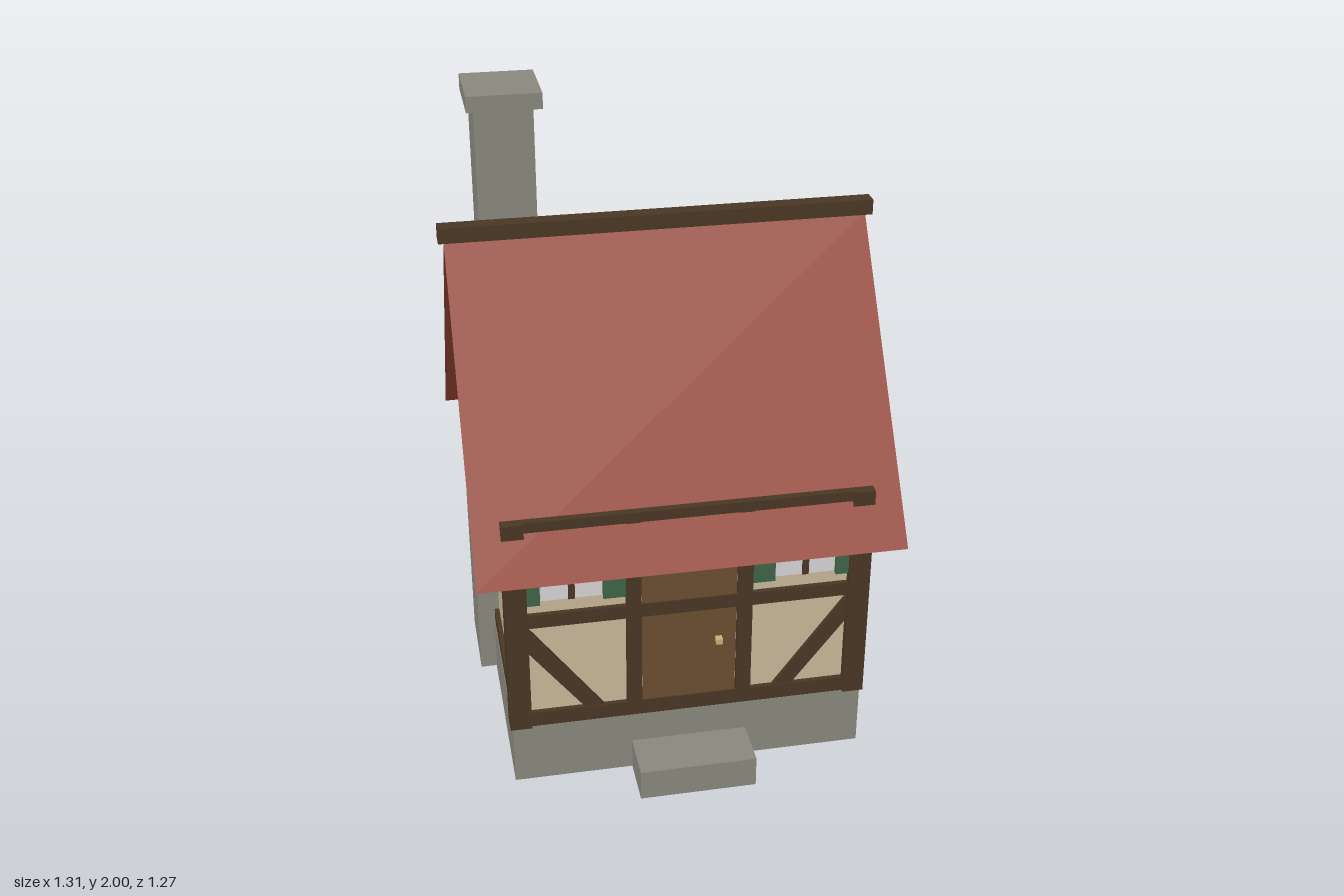
import * as THREE from 'three';

const material = (name, color, extra = {}) => {
  const m = new THREE.MeshStandardMaterial({ color, ...extra });
  m.name = name;
  return m;
};

export function createModel() {
  const house = new THREE.Group();
  house.name = 'timberHouse';

  const stone = material('stone', 0x8a887d);
  const plaster = material('plaster', 0xc8b999);
  const timber = material('timber', 0x4a3724);
  const tiles = material('roofTiles', 0x944333, { side: THREE.DoubleSide });
  const green = material('shutterGreen', 0x3e6647);
  const glass = material('windowPane', 0xd8d4d8);
  const doorWood = material('doorWood', 0x6c4d30);
  const brass = material('doorKnob', 0xc8b078);

  const C = -0.033;                     // depth centre of the house
  const HX = 0.555, HZ = 0.522;         // outer half sizes at the corner posts
  const WALL = 0.025, RAIL = 0.01;      // setbacks from the post faces
  const APEX = 1.6, EAVE = 0.765, RUN = 0.604;
  const SLOPE = (APEX - EAVE) / RUN;

  const add = (parent, name, geometry, mat) => {
    const mesh = new THREE.Mesh(geometry, mat);
    mesh.name = name;
    parent.add(mesh);
    return mesh;
  };
  // Box given by its limits
  const box = (parent, name, mat, x0, x1, y0, y1, z0, z1) => {
    const mesh = add(parent, name, new THREE.BoxGeometry(x1 - x0, y1 - y0, z1 - z0), mat);
    mesh.position.set((x0 + x1) / 2, (y0 + y1) / 2, (z0 + z1) / 2);
    return mesh;
  };
  const prism = (parent, name, mat, points, depth, z) => {
    const shape = new THREE.Shape(points.map(([x, y]) => new THREE.Vector2(x, y)));
    const mesh = add(parent, name, new THREE.ExtrudeGeometry(shape, { depth, bevelEnabled: false }), mat);
    mesh.position.z = z;
    return mesh;
  };

  // Stone base and doorstep
  box(house, 'foundation', stone, -0.547, 0.547, 0, 0.2, C - 0.513, C + 0.513);
  box(house, 'doorstep', stone, -0.18, 0.18, 0, 0.1, 0.47, 0.636);

  // Plaster body with gables, extruded along x
  const wz = HZ - WALL, wx = HX - WALL;
  const wallTop = APEX - wz * SLOPE;
  const body = prism(house, 'plasterWalls', plaster,
    [[-wz, 0.2], [wz, 0.2], [wz, wallTop - 0.004], [0, APEX - 0.004], [-wz, wallTop - 0.004]], wx * 2, 0);
  body.rotation.y = Math.PI / 2;
  body.position.set(-wx, 0, C);

  // Corner posts
  for (const sx of [-1, 1]) for (const sz of [-1, 1]) {
    const x = sx * (HX - 0.033), z = C + sz * (HZ - 0.033);
    box(house, 'cornerPost', timber, x - 0.033, x + 0.033, 0.2, 0.925, z - 0.033, z + 0.033);
  }

  // Framing shared by all four sides; local z points outward
  function side(name, angle, half, depth, braceFoot) {
    const g = new THREE.Group();
    g.name = name;
    g.rotation.y = angle;
    g.position.z = C;
    house.add(g);
    const back = depth - WALL - 0.01, front = depth - RAIL, w = half - 0.05;
    for (const [rail, y0, y1] of [['sillBeam', 0.2, 0.25], ['middleRail', 0.56, 0.605], ['topPlate', 0.88, 0.925]])
      box(g, rail, timber, -w, w, y0, y1, back, front);
    const inner = half - 0.06;
    for (const s of [-1, 1]) {
      const pts = [[braceFoot, 0.245], [braceFoot + 0.06, 0.245], [inner, 0.475], [inner, 0.565]]
        .map(([x, y]) => [s * x, y]);
      prism(g, 'diagonalBrace', timber, pts, front - 0.003 - back, back);
    }
    return g;
  }

  // Window with a pair of shutters, centred on u
  function windowAt(g, u, depth, mullion) {
    const w = depth - WALL;
    box(g, 'windowPane', glass, u - 0.091, u + 0.091, 0.648, 0.846, w - 0.005, w + 0.006);
    if (mullion) box(g, 'mullion', timber, u - 0.01, u + 0.01, 0.648, 0.846, w, w + 0.011);
    for (const s of [-1, 1]) {
      const c = u + s * 0.134;
      box(g, 'shutter', green, c - 0.04, c + 0.04, 0.638, 0.855, w - 0.005, w + 0.014);
    }
  }

  const front = side('frontFrame', 0, HX, HZ, 0.26);
  const rear = side('rearFrame', Math.PI, HX, HZ, 0.26);
  const left = side('leftFrame', Math.PI / 2, HZ, HX, 0.25);
  const right = side('rightFrame', -Math.PI / 2, HZ, HX, 0.25);
  for (const s of [-1, 1]) {
    windowAt(front, s * 0.355, HZ, true);
    windowAt(rear, s * 0.23, HZ, true);
    box(front, 'doorPost', timber, s * 0.17 - 0.023, s * 0.17 + 0.023, 0.22, 0.9, HZ - 0.035, HZ - 0.009);
  }
  windowAt(left, 0, HX, false);

  // Door
  box(front, 'door', doorWood, -0.144, 0.144, 0.25, 0.728, HZ - 0.035, HZ - 0.015);
  box(front, 'doorKnob', brass, 0.08, 0.1, 0.44, 0.458, HZ - 0.016, HZ + 0.007);

  // Gable timbers
  for (const g of [left, right]) {
    box(g, 'gablePost', timber, -0.02, 0.02, 0.92, 1.56, HX - 0.035, HX - 0.011);
    box(g, 'gableCollar', timber, -0.242, 0.242, 1.235, 1.265, HX - 0.035, HX - RAIL);
  }

  // Thin roof slopes and ridge beam
  const slopeLength = Math.hypot(RUN, APEX - EAVE);
  for (const s of [-1, 1]) {
    const roof = add(house, 'roofSlope', new THREE.PlaneGeometry(1.276, slopeLength), tiles);
    roof.rotation.set(-Math.atan2(RUN, APEX - EAVE), s < 0 ? Math.PI : 0, 0, 'YXZ');
    roof.position.set(0, (APEX + EAVE) / 2, C + s * RUN / 2);
  }
  box(house, 'ridgeBeam', timber, -0.655, 0.655, 1.598, 1.645, C - 0.025, C + 0.025);

  // Chimney: broad stack outside the wall, shaft and cap
  box(house, 'chimneyStack', stone, -0.6, -0.342, 0.02, 1.32, -0.365, -0.095);
  box(house, 'chimneyShaft', stone, -0.525, -0.35, 1.2, 1.955, -0.33, -0.13);
  box(house, 'chimneyCap', stone, -0.546, -0.324, 1.952, 2, -0.352, -0.112);

  return house;
}
